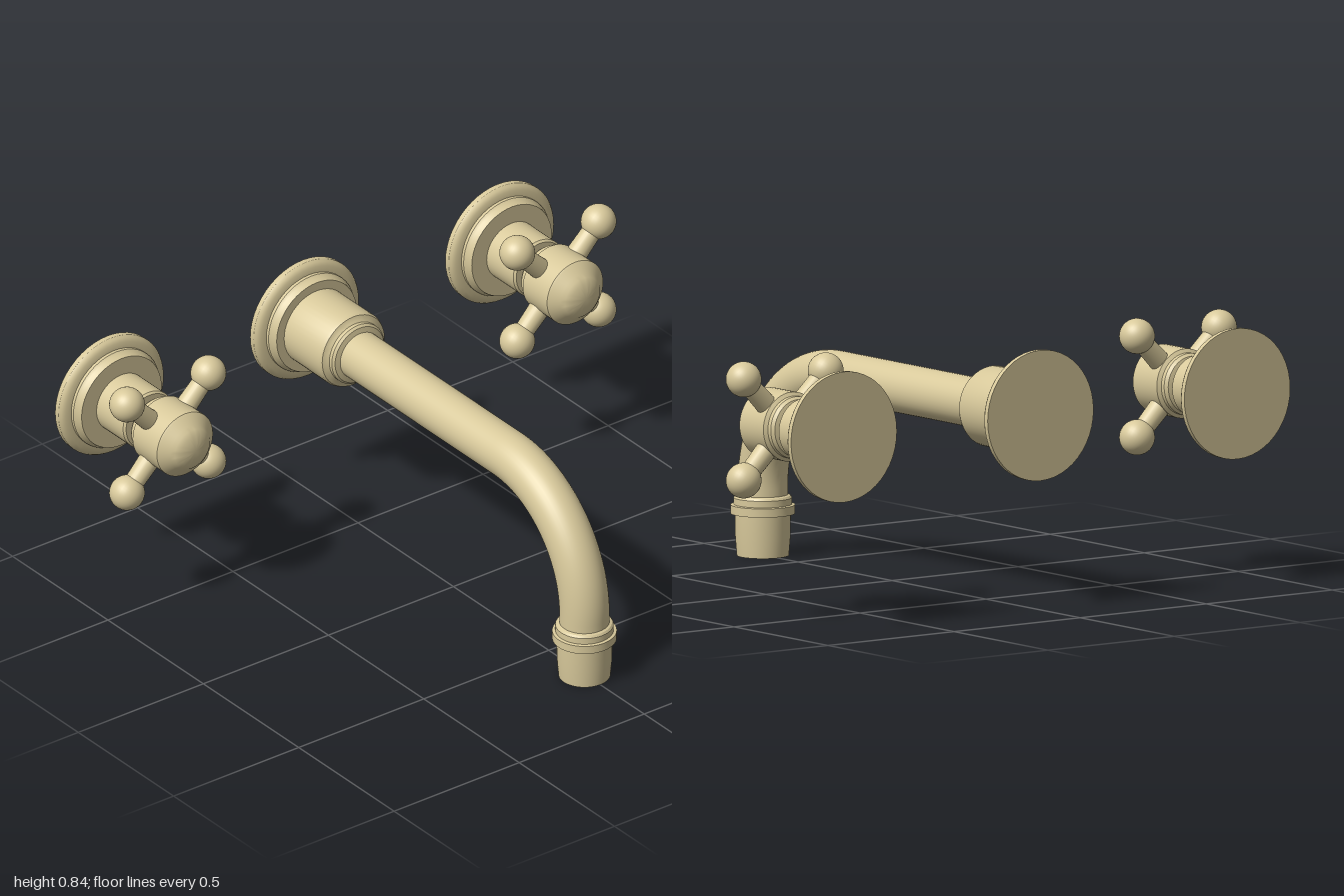
import * as THREE from 'three';
import { toCreasedNormals } from 'three/addons/utils/BufferGeometryUtils.js';

const AXIS_Y = 0.625;   // height of the spout and valve axes
const HANDLE_X = 0.78;
const OUTLET_Z = 0.687;
const brass = new THREE.MeshStandardMaterial({ color: 0xd8c99b });

// Turned part: profile of [radius, height] pairs from bottom to top
function turned(name, profile, alongZ = true) {
  const points = profile.map(([r, h]) => new THREE.Vector2(r, h));
  let geometry = new THREE.LatheGeometry(points, 48);
  if (alongZ) geometry.rotateX(Math.PI / 2);
  geometry = toCreasedNormals(geometry, 0.5);
  return named(name, geometry);
}

function named(name, geometry) {
  const mesh = new THREE.Mesh(geometry, brass);
  mesh.name = name;
  return mesh;
}

// Stepped wall plate shared by the spout and both valves
const wallPlate = () => turned('wallPlate', [
  [0, -0.79], [0.21, -0.79], [0.21, -0.773], [0.204, -0.764], [0.192, -0.757],
  [0.172, -0.755], [0.172, -0.744], [0.165, -0.735], [0.16, -0.717], [0, -0.717],
]);

function createHandle() {
  const handle = new THREE.Group();
  handle.add(wallPlate());
  handle.add(turned('valveBody', [
    [0.1, -0.72], [0.1, -0.578], [0.094, -0.57], [0.06, -0.57], [0.06, -0.54],
  ]));
  handle.add(turned('hub', [
    [0, -0.553], [0.07, -0.553], [0.092, -0.546], [0.1, -0.535], [0.1, -0.52],
    [0.112, -0.512], [0.112, -0.385], [0.108, -0.38], [0.08, -0.358],
    [0.07, -0.346], [0.053, -0.336], [0.028, -0.329], [0, -0.327],
  ]));

  // Four diagonal spokes tipped with balls
  const cross = new THREE.Group();
  cross.name = 'crossHandle';
  for (let i = 0; i < 4; i++) {
    const arm = new THREE.Group();
    arm.name = 'arm';
    const spoke = named('spoke', new THREE.CylinderGeometry(0.031, 0.036, 0.16, 24, 1, true));
    spoke.position.y = 0.14;
    const ball = named('ball', new THREE.SphereGeometry(0.057, 32, 20));
    ball.position.y = 0.23;
    arm.add(spoke, ball);
    arm.rotation.z = Math.PI / 4 + i * Math.PI / 2;
    cross.add(arm);
  }
  cross.position.z = -0.475;
  handle.add(cross);
  return handle;
}

function createSpout() {
  const spout = new THREE.Group();
  spout.name = 'spout';

  // Wall mounting
  const mount = new THREE.Group();
  mount.name = 'spoutMount';
  mount.add(wallPlate());
  mount.add(turned('sleeve', [
    [0.13, -0.72], [0.13, -0.535], [0.125, -0.524], [0.11, -0.518],
    [0.105, -0.513], [0.105, -0.5], [0.098, -0.492], [0.078, -0.488],
  ]));
  mount.position.y = AXIS_Y;

  // Straight pipe, quarter bend, short drop
  const p = (y, z) => new THREE.Vector3(0, y, z);
  const bend = 0.4, k = bend * 0.5523;
  const z0 = OUTLET_Z - bend, y1 = AXIS_Y - bend;
  const path = new THREE.CurvePath();
  path.add(new THREE.LineCurve3(p(AXIS_Y, -0.6), p(AXIS_Y, z0)));
  path.add(new THREE.CubicBezierCurve3(
    p(AXIS_Y, z0), p(AXIS_Y, z0 + k), p(y1 + k, OUTLET_Z), p(y1, OUTLET_Z)));
  path.add(new THREE.LineCurve3(p(y1, OUTLET_Z), p(0.15, OUTLET_Z)));
  const pipe = named('pipe', new THREE.TubeGeometry(path, 90, 0.08, 40));

  // Collared nozzle
  const outlet = turned('outlet', [
    [0, 0], [0.083, 0], [0.088, 0.06], [0.089, 0.135], [0.103, 0.135],
    [0.103, 0.163], [0.093, 0.165], [0.093, 0.186], [0.088, 0.193], [0.078, 0.197],
  ], false);
  outlet.position.z = OUTLET_Z;

  spout.add(mount, pipe, outlet);
  return spout;
}

export function createModel() {
  const model = new THREE.Group();
  model.name = 'wallMountedTap';
  model.add(createSpout());
  for (const side of [1, -1]) {
    const handle = createHandle();
    handle.name = side > 0 ? 'leftHandle' : 'rightHandle';
    handle.position.set(side * HANDLE_X, AXIS_Y, 0);
    model.add(handle);
  }
  return model;
}
